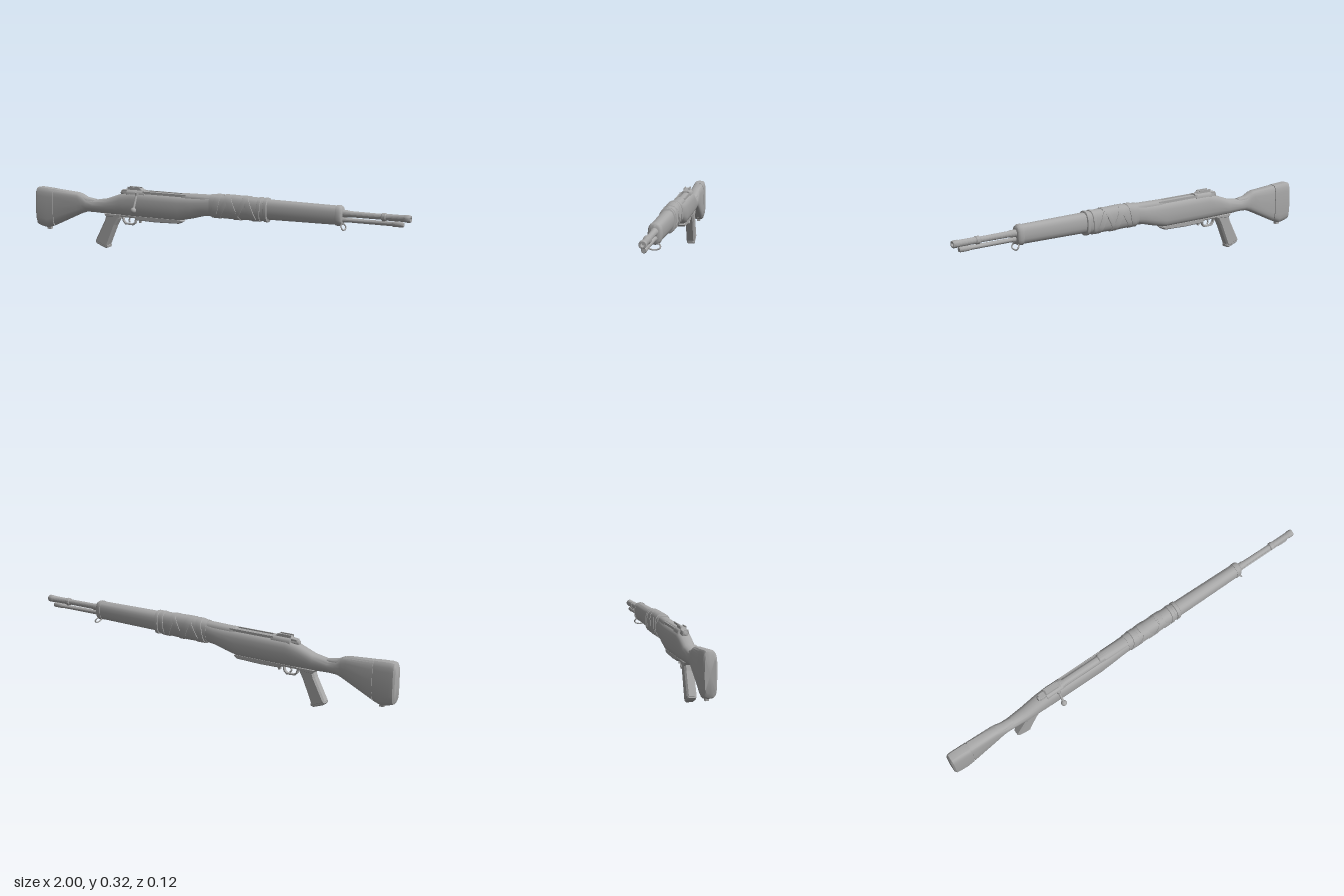
import * as THREE from 'three';
import { toCreasedNormals } from 'three/addons/utils/BufferGeometryUtils.js';

const CZ = -0.018; // centre plane of the rifle body

// Closed loft along x. Station: [x, bottom, top, halfWidth, squareness, lean]
function loft(stations, sides = 20) {
  const pos = [], idx = [];
  const sp = (v, n) => Math.sign(v) * Math.pow(Math.abs(v), 2 / n);
  for (const [x, lo, hi, w, n = 2.6, lean = 0] of stations) {
    for (let k = 0; k < sides; k++) {
      const a = (k / sides) * Math.PI * 2;
      const s = sp(Math.sin(a), n);
      pos.push(x + lean * s, (lo + hi) / 2 + s * (hi - lo) / 2, CZ + sp(Math.cos(a), n) * w);
    }
  }
  const rows = stations.length;
  for (let i = 0; i < rows - 1; i++) {
    for (let k = 0; k < sides; k++) {
      const a = i * sides + k, b = i * sides + (k + 1) % sides;
      idx.push(a, a + sides, b, b, a + sides, b + sides);
    }
  }
  for (const [row, end] of [[0, false], [rows - 1, true]]) {
    const c = pos.length / 3, [x, lo, hi] = stations[row];
    pos.push(x, (lo + hi) / 2, CZ);
    for (let k = 0; k < sides; k++) {
      const a = row * sides + k, b = row * sides + (k + 1) % sides;
      if (end) idx.push(c, b, a); else idx.push(c, a, b);
    }
  }
  const g = new THREE.BufferGeometry();
  g.setAttribute('position', new THREE.Float32BufferAttribute(pos, 3));
  g.setIndex(idx);
  return toCreasedNormals(g, 0.6);
}

// Side outline extruded across z with a chamfer
function slab(points, width, bevel, hole) {
  const shape = new THREE.Shape(points.map(p => new THREE.Vector2(...p)));
  if (hole) shape.holes.push(new THREE.Path(hole.map(p => new THREE.Vector2(...p))));
  const g = new THREE.ExtrudeGeometry(shape, {
    depth: width - 2 * bevel, bevelEnabled: bevel > 0, bevelThickness: bevel,
    bevelSize: bevel, bevelOffset: -bevel, bevelSegments: 1,
  });
  return g.translate(0, 0, CZ - width / 2 + bevel);
}

// Turned part along +x; profile points are [radius, x]
function turned(profile, y, sides = 20) {
  const g = new THREE.LatheGeometry(profile.map(p => new THREE.Vector2(...p)), sides);
  return toCreasedNormals(g.rotateZ(-Math.PI / 2), 0.6).translate(0, y, CZ);
}

function tube(points, r, closed = false) {
  const c = new THREE.CatmullRomCurve3(points.map(p => new THREE.Vector3(...p)), closed);
  return new THREE.TubeGeometry(c, 24, r, 8, closed);
}

const box = (w, h, d, x, y, z) => new THREE.BoxGeometry(w, h, d).translate(x, y, z);

export function createModel() {
  const model = new THREE.Group();
  const grey = new THREE.MeshStandardMaterial({ color: 0xa8a8a8 });
  grey.name = 'plain grey';
  const add = (name, geometry) => {
    const m = new THREE.Mesh(geometry, grey);
    m.name = name;
    model.add(m);
    return m;
  };

  // Shoulder stock, wrist and receiver bed in one piece
  add('stock', loft([
    [-0.888, 0.092, 0.281, 0.031, 4],
    [-0.75, 0.157, 0.271, 0.029, 3.4],
    [-0.725, 0.168, 0.262, 0.028, 3],
    [-0.70, 0.176, 0.246, 0.027, 2.6],
    [-0.66, 0.178, 0.240, 0.028, 2.4],
    [-0.58, 0.175, 0.254, 0.033, 2.5],
    [-0.50, 0.174, 0.284, 0.037, 2.8],
    [-0.44, 0.174, 0.296, 0.038, 3],
    [-0.17, 0.174, 0.298, 0.038, 3],
    [-0.10, 0.190, 0.300, 0.038, 2.8],
    [-0.04, 0.206, 0.304, 0.037, 2.6],
    [0.02, 0.213, 0.312, 0.036, 2.6],
  ]));
  add('buttPad', loft([
    [-0.998, 0.108, 0.270, 0.024, 4],
    [-0.990, 0.090, 0.284, 0.031, 4],
    [-0.970, 0.083, 0.287, 0.032, 4],
    [-0.930, 0.076, 0.285, 0.032, 4],
    [-0.892, 0.090, 0.282, 0.032, 4],
  ]));
  add('buttGroove', loft([[-0.893, 0.096, 0.277, 0.028, 4], [-0.886, 0.098, 0.277, 0.028, 4]]));
  add('buttSwivel', box(0.022, 0.016, 0.016, -0.93, 0.076, CZ));
  add('combStep', loft([
    [-0.735, 0.2, 0.268, 0.024, 3], [-0.70, 0.2, 0.251, 0.022, 3], [-0.65, 0.2, 0.244, 0.019, 3],
  ]));

  // Fore-end with a lipped cap
  add('foreEnd', loft([
    [0.0, 0.214, 0.313, 0.035], [0.30, 0.217, 0.314, 0.034], [0.655, 0.221, 0.311, 0.030],
  ]));
  add('foreEndCap', loft([
    [0.645, 0.217, 0.314, 0.032], [0.662, 0.217, 0.314, 0.032],
    [0.672, 0.222, 0.308, 0.027], [0.676, 0.230, 0.300, 0.020],
  ]));

  // Cloth wrap: base sleeve, slanted turns and straight end turns
  add('wrapSleeve', loft([
    [0.0, 0.208, 0.317, 0.037], [0.06, 0.205, 0.320, 0.038], [0.12, 0.204, 0.323, 0.0385],
    [0.20, 0.206, 0.320, 0.038], [0.30, 0.210, 0.317, 0.036],
  ]));
  for (const [x, width, lean] of [
    [0.035, 0.035, 0.012], [0.075, 0.030, 0.032], [0.120, 0.040, -0.026],
    [0.165, 0.030, 0.030], [0.212, 0.036, -0.024], [0.258, 0.022, 0.004], [0.292, 0.022, 0],
  ]) {
    const lift = 0.001 + 0.002 * (1 - Math.abs(x - 0.13) / 0.17);
    const ring = (dx, o) => [x + dx, 0.205 - o, 0.320 + o, 0.038 + o, 2.6, lean];
    add('wrapTurn', loft([
      ring(-width / 2, -0.004), ring(-width / 2 + 0.003, lift),
      ring(width / 2 - 0.003, lift), ring(width / 2, -0.004),
    ]));
  }

  // Receiver tube, bolt and hand guard seat
  add('receiver', turned([[0, -0.46], [0.021, -0.455], [0.024, -0.44], [0.024, -0.37], [0.018, -0.365],
    [0.018, -0.16], [0.024, -0.155], [0.024, 0.02], [0, 0.02]], 0.288));
  add('receiverBridge', loft([[-0.46, 0.25, 0.310, 0.027, 3], [-0.36, 0.25, 0.311, 0.027, 3]]));
  add('receiverRing', loft([[-0.15, 0.25, 0.311, 0.027, 2.8], [0.01, 0.25, 0.314, 0.029, 2.8]]));
  for (const side of [-1, 1]) {
    add('receiverRail', box(0.24, 0.012, 0.005, -0.25, 0.300, CZ + side * 0.022));
  }
  add('boltShroud', turned([[0, -0.505], [0.012, -0.50], [0.016, -0.485], [0.016, -0.44], [0, -0.44]], 0.290));

  // Rear sight
  add('sightBase', slab([[-0.492, 0.290], [-0.492, 0.306], [-0.462, 0.309], [-0.455, 0.317],
    [-0.385, 0.317], [-0.375, 0.309], [-0.365, 0.300]], 0.028, 0.002));
  for (const side of [-1, 1]) {
    add('sightEar', box(0.07, 0.010, 0.005, -0.425, 0.317, CZ + side * 0.012));
  }

  // Bolt handle with ball knob
  add('boltHandle', tube([[-0.40, 0.298, -0.006], [-0.40, 0.284, 0.012], [-0.40, 0.255, 0.027], [-0.40, 0.218, 0.044]], 0.006));
  add('boltKnob', new THREE.SphereGeometry(0.0145, 16, 12).translate(-0.40, 0.215, 0.046));
  add('boltCollar', new THREE.CylinderGeometry(0.010, 0.010, 0.02, 12).translate(-0.40, 0.288, 0.008));

  // Pistol grip with foot and raised back strap
  add('grip', slab([[-0.578, 0.185], [-0.505, 0.185], [-0.510, 0.158], [-0.530, 0.122], [-0.572, 0.022],
    [-0.576, 0.010], [-0.588, 0.006], [-0.640, 0.026], [-0.646, 0.038], [-0.592, 0.142]], 0.044, 0.008));
  add('gripFoot', slab([[-0.571, 0.016], [-0.573, 0.004], [-0.588, 0.0], [-0.640, 0.019],
    [-0.648, 0.030], [-0.642, 0.044]], 0.040, 0.005));
  add('gripCollar', slab([[-0.595, 0.180], [-0.495, 0.180], [-0.500, 0.164], [-0.580, 0.160]], 0.048, 0.004));

  // Trigger group and magazine floor plate
  add('triggerGuard', slab(
    [[-0.500, 0.178], [-0.494, 0.145], [-0.480, 0.130], [-0.435, 0.128], [-0.420, 0.140], [-0.412, 0.178]],
    0.016, 0.001,
    [[-0.420, 0.172], [-0.427, 0.144], [-0.438, 0.136], [-0.476, 0.137], [-0.487, 0.148], [-0.492, 0.172]]));
  add('trigger', tube([[-0.462, 0.178, CZ], [-0.456, 0.162, CZ], [-0.460, 0.150, CZ], [-0.452, 0.141, CZ]], 0.004));
  add('magazinePlate', slab([[-0.50, 0.182], [-0.16, 0.182], [-0.152, 0.172], [-0.170, 0.160],
    [-0.30, 0.156], [-0.405, 0.158], [-0.42, 0.168], [-0.50, 0.168]], 0.046, 0.004));
  add('magazineCatch', box(0.010, 0.016, 0.014, -0.395, 0.152, CZ));

  // Barrel with hollow muzzle sleeve, and the rod beneath
  add('barrel', turned([[0, 0.6], [0.017, 0.6], [0.017, 0.70], [0.0145, 0.71], [0.0135, 0.87], [0, 0.87]], 0.276));
  add('muzzle', turned([[0, 0.86], [0.015, 0.86], [0.0185, 0.864], [0.0185, 0.880], [0.0155, 0.884],
    [0.0155, 0.968], [0.0175, 0.972], [0.0175, 0.994], [0.015, 0.999], [0.009, 0.999], [0.009, 0.96], [0, 0.96]], 0.276));
  add('lowerRod', turned([[0, 0.6], [0.0125, 0.6], [0.0125, 0.69], [0.0105, 0.695], [0.0105, 0.91],
    [0.0125, 0.915], [0.0125, 0.960], [0.010, 0.966], [0, 0.966]], 0.247));
  add('rodBracket', box(0.014, 0.030, 0.012, 0.872, 0.260, CZ));

  // Front sling loop
  add('slingLoop', tube([[0.672, 0.222, CZ - 0.022], [0.680, 0.207, CZ - 0.026], [0.680, 0.198, CZ],
    [0.680, 0.207, CZ + 0.026], [0.672, 0.222, CZ + 0.022], [0.668, 0.226, CZ]], 0.0035, true));
  return model;
}
